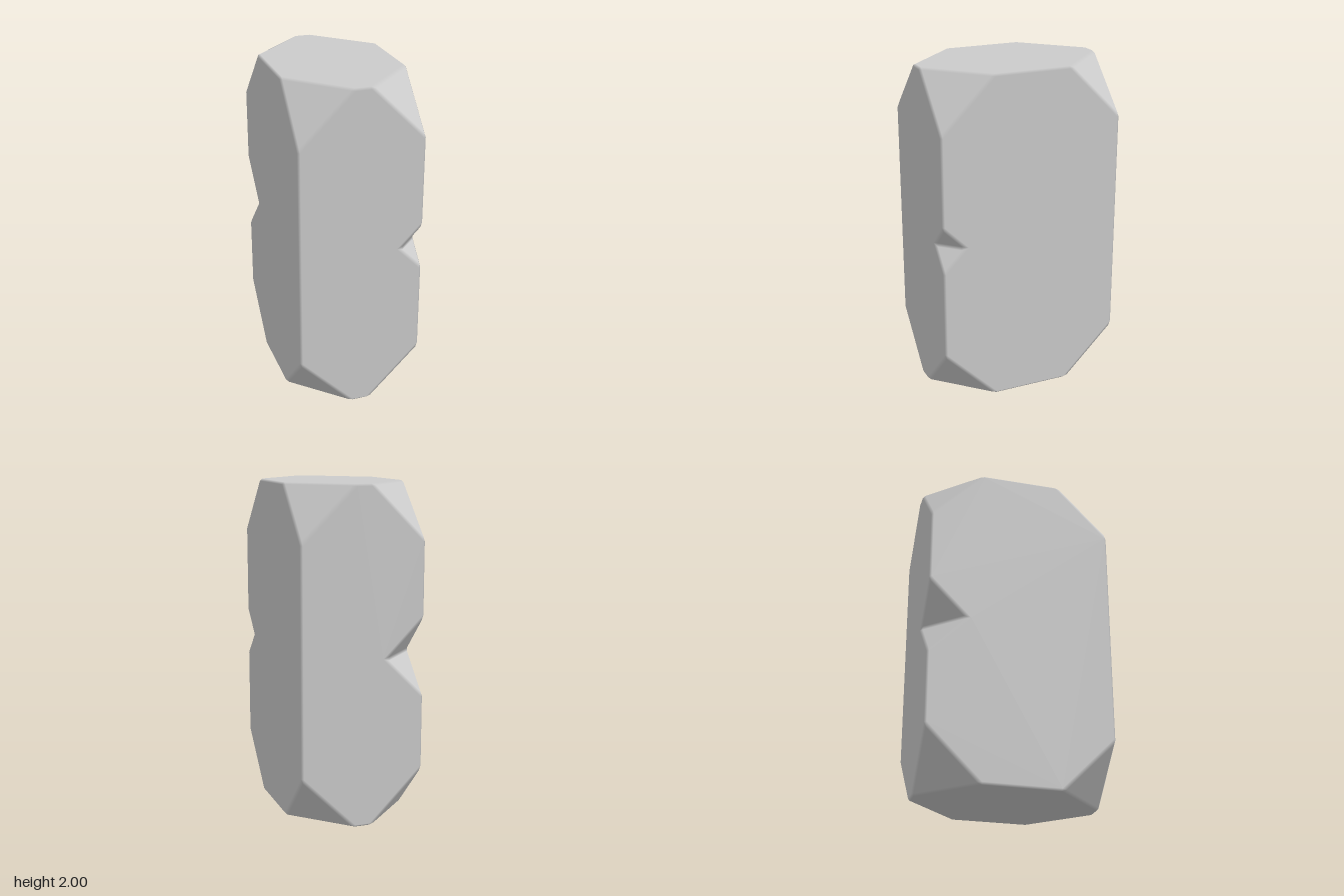
import * as THREE from 'three';

const HALF = [0.375, 1, 0.56];   // half width, height, depth
const CUT = 0.325;               // leg of the eight corner cuts
const BEVEL = 0.014;             // softened edge width
const NOTCH = { 1: 0.14, '-1': 0.235 }; // notch size on the front-left and back-right edges

const vec = (a) => new THREE.Vector3(...a);
const key = (p) => p.toArray().map((c) => Math.round(c * 1000)).join(',');

// Newell normal of a polygon
function polygonNormal(loop) {
  const n = new THREE.Vector3();
  loop.forEach((p, i) => n.add(p.clone().cross(loop[(i + 1) % loop.length])));
  return n.normalize();
}

// Flat polygons of the cut and notched block, each wound to face outwards
function blockFaces() {
  const faces = [];
  const add = (loop, outward) => {
    if (polygonNormal(loop).dot(outward) < 0) loop.reverse();
    faces.push(loop);
  };
  const near = (a, b) => Math.abs(a - b) < 1e-6;

  // Six octagonal sides
  for (const axis of [0, 1, 2]) for (const s of [1, -1]) {
    const u = (axis + 1) % 3, v = (axis + 2) % 3;
    const loop = [];
    for (const [su, sv] of [[1, 1], [-1, 1], [-1, -1], [1, -1]]) {
      for (const pulled of su * sv > 0 ? [v, u] : [u, v]) {
        const p = [];
        p[axis] = s * HALF[axis];
        p[u] = su * (HALF[u] - (pulled === u ? CUT : 0));
        p[v] = sv * (HALF[v] - (pulled === v ? CUT : 0));
        loop.push(vec(p));
      }
    }
    // Bite the notch out of the vertical edge
    const notched = [];
    loop.forEach((p, i) => {
      notched.push(p);
      const q = loop[(i + 1) % loop.length];
      const onEdge = [p, q].every((w) => near(w.x, s * HALF[0]) && near(w.z, s * HALF[2]));
      if (axis === 1 || !onEdge) return;
      const n = NOTCH[s], dir = Math.sign(q.y - p.y);
      const mid = new THREE.Vector3(p.x, 0, p.z);
      mid.setComponent(2 - axis, s * (HALF[2 - axis] - n));
      notched.push(new THREE.Vector3(p.x, -dir * n, p.z), mid, new THREE.Vector3(p.x, dir * n, p.z));
    });
    const outward = new THREE.Vector3().setComponent(axis, s);
    add(notched, outward);
  }

  // Eight corner triangles
  for (const sx of [1, -1]) for (const sy of [1, -1]) for (const sz of [1, -1]) {
    const signs = [sx, sy, sz];
    add([0, 1, 2].map((a) => vec(signs.map((g, i) => g * (HALF[i] - (i === a ? CUT : 0))))), vec(signs));
  }

  // Upper and lower triangle of both notches
  for (const s of [1, -1]) for (const sy of [1, -1]) {
    const [x, , z] = HALF, n = NOTCH[s];
    add([vec([s * x, sy * n, s * z]), vec([s * (x - n), 0, s * z]), vec([s * x, 0, s * (z - n)])],
      vec([0, -sy, 0]));
  }
  return faces;
}

// Insets every face and joins the gaps with smooth-shaded strips and corner caps
function softenedGeometry(faces) {
  const positions = [], normals = [], index = [];
  const edges = new Map();
  for (const loop of faces) {
    const n = polygonNormal(loop), count = loop.length, base = positions.length / 3;
    const inward = loop.map((p, i) =>
      n.clone().cross(loop[(i + 1) % count].clone().sub(p)).normalize());
    const inset = loop.map((p, i) => {
      const a = inward[(i + count - 1) % count], b = inward[i];
      return p.clone().addScaledVector(a.clone().add(b), BEVEL / (1 + a.dot(b)));
    });
    for (const p of inset) {
      positions.push(p.x, p.y, p.z);
      normals.push(n.x, n.y, n.z);
    }
    const u = inward[0], v = n.clone().cross(u);
    const flat = inset.map((p) => new THREE.Vector2(p.dot(u), p.dot(v)));
    for (const t of THREE.ShapeUtils.triangulateShape(flat, [])) index.push(...t.map((i) => base + i));
    loop.forEach((p, i) => {
      const j = (i + 1) % count;
      edges.set(key(p) + '|' + key(loop[j]), { from: base + i, to: base + j, face: loop, i });
    });
  }

  const capped = new Set();
  for (const [name, edge] of edges) {
    const [a, b] = name.split('|');
    const twin = edges.get(b + '|' + a);
    // Edge strip
    if (a < b) index.push(edge.to, edge.from, twin.to, edge.to, twin.to, twin.from);
    // Corner cap, walking around the three faces that meet here
    if (capped.has(a)) continue;
    capped.add(a);
    const ring = [];
    let e = edge;
    for (let k = 0; k < 3; k++) {
      ring.unshift(e.from);
      const next = e.face[(e.i + 1) % e.face.length];
      const across = edges.get(key(next) + '|' + a);
      const after = across.face[(across.i + 2) % across.face.length];
      e = edges.get(a + '|' + key(after));
    }
    index.push(...ring);
  }

  const geometry = new THREE.BufferGeometry();
  geometry.setAttribute('position', new THREE.Float32BufferAttribute(positions, 3));
  geometry.setAttribute('normal', new THREE.Float32BufferAttribute(normals, 3));
  geometry.setIndex(index);
  return geometry;
}

export function createModel() {
  const group = new THREE.Group();
  group.name = 'notchedBlock';
  const block = new THREE.Mesh(softenedGeometry(blockFaces()),
    new THREE.MeshStandardMaterial({ color: 0xcccccc }));
  block.name = 'block';
  block.position.y = HALF[1];
  group.add(block);
  return group;
}
